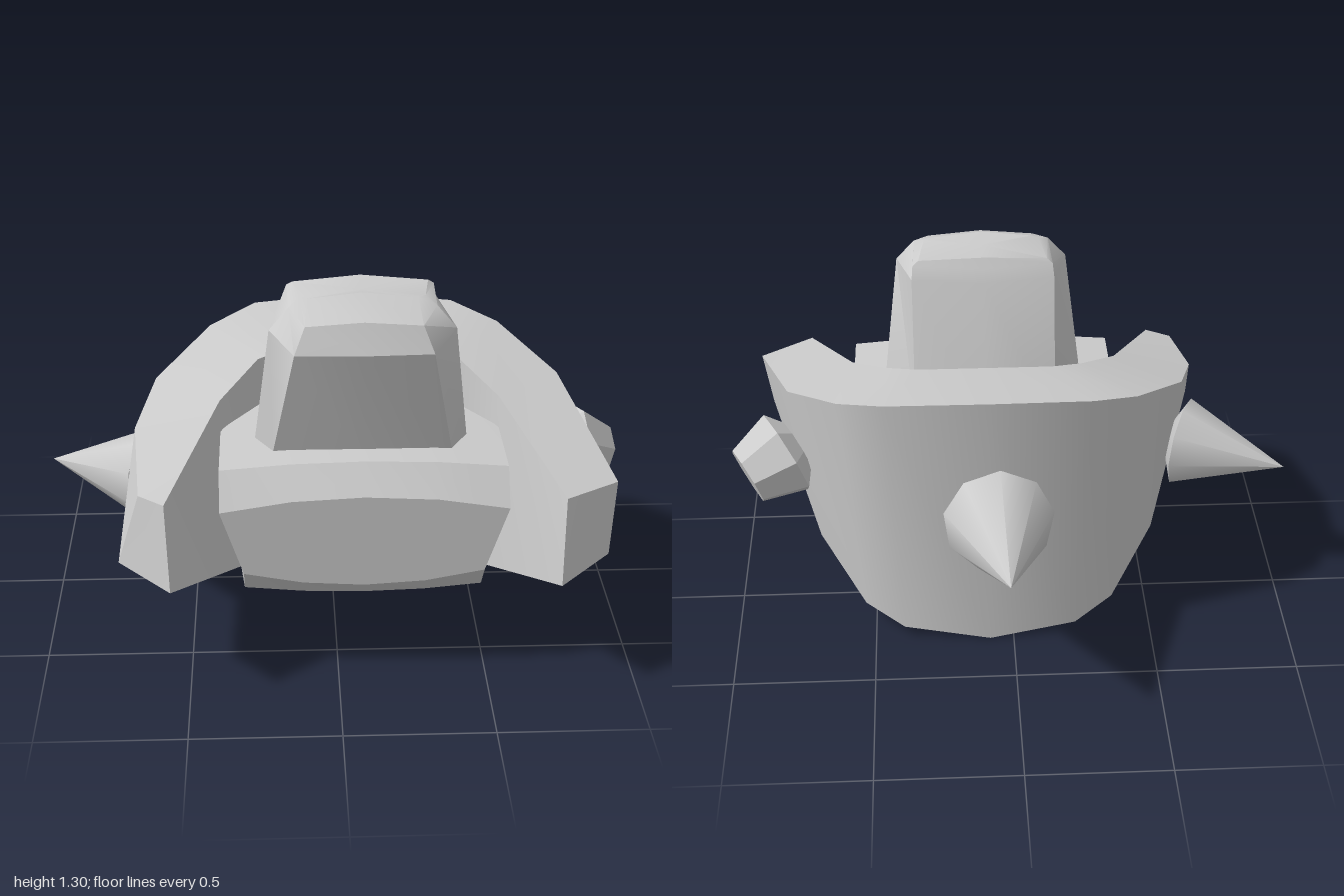
import * as THREE from 'three';
import { toCreasedNormals } from 'three/addons/utils/BufferGeometryUtils.js';

const CX = 0.085; // symmetry plane of the band, wedge and block
const material = new THREE.MeshStandardMaterial({ color: 0xcccccc });

// Closed solid through rings of [x, y, z] points, with fan caps at both ends
function loft(rings, crease = 0.5) {
  const tris = [];
  const n = rings[0].length;
  for (let i = 0; i < rings.length - 1; i++) {
    for (let j = 0; j < n; j++) {
      const k = (j + 1) % n;
      const a = rings[i][j], b = rings[i][k], c = rings[i + 1][k], d = rings[i + 1][j];
      tris.push([a, b, c], [a, c, d]);
    }
  }
  const cap = (ring, flip) => {
    const mid = [0, 1, 2].map((q) => ring.reduce((s, p) => s + p[q], 0) / n);
    ring.forEach((p, j) => {
      const next = ring[(j + 1) % n];
      tris.push(flip ? [mid, next, p] : [mid, p, next]);
    });
  };
  cap(rings[0], true);
  cap(rings[rings.length - 1], false);

  // Turn all faces outward
  const v = (p) => new THREE.Vector3(...p);
  const volume = tris.reduce((s, [a, b, c]) => s + v(a).dot(v(b).cross(v(c))), 0);
  if (volume < 0) tris.forEach((t) => t.reverse());

  const geometry = new THREE.BufferGeometry();
  geometry.setAttribute('position', new THREE.Float32BufferAttribute(tris.flat(2), 3));
  return toCreasedNormals(geometry, crease);
}

const mirror = (ring) => ring.map(([x, y, z]) => [-x, y, z]);

function add(group, name, geometry, x = 0) {
  const mesh = new THREE.Mesh(geometry, material);
  mesh.name = name;
  mesh.position.x = x;
  group.add(mesh);
  return mesh;
}

// Corners of each section: outer top, inner top, inner bottom, outer bottom
function bandGeometry() {
  const half = [
    [[0, 1.02, -0.3], [0, 0.955, 0.04], [0, 0.08, 0.04], [0, 0.005, -0.29]],
    [[0.355, 1.0, -0.265], [0.235, 0.955, 0.04], [0.205, 0.085, 0.04], [0.31, 0.045, -0.26]],
    [[0.515, 0.955, -0.17], [0.345, 0.935, 0.09], [0.29, 0.125, 0.09], [0.45, 0.09, -0.17]],
    [[0.7, 0.86, 0.07], [0.475, 0.86, 0.26], [0.41, 0.215, 0.27], [0.615, 0.235, 0.06]],
    [[0.835, 0.7, 0.59], [0.65, 0.705, 0.71], [0.635, 0.43, 0.795], [0.81, 0.46, 0.645]],
  ];
  const right = half.slice(1).map(mirror);
  // The right arm has its upper outer corner cut off
  const cutStart = right[2].map((p, j) => p.map((c, q) => c + (right[3][j][q] - c) * 0.46));
  right[3][0] = [-0.735, 0.71, 0.65];
  right.splice(3, 0, cutStart);
  return loft([...right.reverse(), ...half], 0.55);
}

// Wedge filling the band: slices across x, narrower at the bottom
function wedgeGeometry() {
  const slice = (x, back, t) => {
    const low = x * 0.84;
    return [
      [x, 0.785 - 0.03 * t, back],
      [x, 0.78 - 0.025 * t, 0.57],
      [x, 0.69 - 0.05 * t, 0.65],
      [low, 0.36 + 0.05 * t, 0.65],
      [low, 0.285 + 0.025 * t, 0.57],
      [low, 0.265 + 0.03 * t, 0.4],
      [low, 0.22 + 0.07 * t, back],
    ];
  };
  const half = [
    slice(0, 0.03, 0), slice(0.24, 0.03, 0.25), slice(0.35, 0.08, 0.6), slice(0.475, 0.26, 1),
  ];
  return loft([...half.slice(1).map(mirror).reverse(), ...half], 0.5);
}

// Bevelled block leaning forward: half rings run from back middle to front middle
function blockGeometry() {
  const halves = [
    [[0, 0.72, 0], [0.25, 0.72, 0.06], [0.36, 0.74, 0.35], [0.3, 0.75, 0.46], [0, 0.75, 0.475]],
    [[0, 1.22, 0.17], [0.25, 1.22, 0.205], [0.305, 1.19, 0.43], [0.225, 1.15, 0.55], [0, 1.155, 0.57]],
    [[0, 1.26, 0.2], [0.245, 1.265, 0.225], [0.24, 1.265, 0.42], [0.19, 1.235, 0.515], [0, 1.25, 0.52]],
    [[0, 1.295, 0.22], [0.225, 1.28, 0.235], [0.205, 1.285, 0.38], [0.18, 1.285, 0.4], [0, 1.305, 0.4]],
  ];
  const rings = halves.map((h) => [...h, ...mirror(h.slice(1, -1)).reverse()]);
  return loft(rings, 0.6);
}

// Round stud turned so that its axis runs from base to tip
function addStud(group, name, base, tip, profile, sides, crease) {
  const from = new THREE.Vector3(...base);
  const axis = new THREE.Vector3(...tip).sub(from);
  const length = axis.length();
  const points = profile.map(([r, h]) => new THREE.Vector2(r, h * length));
  const geometry = toCreasedNormals(new THREE.LatheGeometry(points, sides), crease);
  const mesh = add(group, name, geometry);
  mesh.position.copy(from);
  mesh.quaternion.setFromUnitVectors(new THREE.Vector3(0, 1, 0), axis.normalize());
}

export function createModel() {
  const group = new THREE.Group();
  group.name = 'spikedCollar';

  add(group, 'band', bandGeometry(), CX);
  add(group, 'wedge', wedgeGeometry(), CX);
  add(group, 'uprightBlock', blockGeometry(), CX);

  // Spikes with a short tapered foot, and a blunt stud on the left
  const spike = (r) => [[0, -0.1], [r * 0.5, -0.1], [r, 0], [0, 1]];
  addStud(group, 'backSpike', [0.055, 0.57, -0.345], [0.035, 0.635, -0.797], spike(0.195), 9, 0.85);
  addStud(group, 'rightSpike', [-0.645, 0.54, 0.17], [-1, 0.52, 0.01], spike(0.162), 9, 0.85);
  addStud(group, 'leftStud', [0.81, 0.585, 0.095], [0.947, 0.53, 0.03],
    [[0, -0.3], [0.1, -0.3], [0.165, 0], [0.112, 1], [0, 1]], 8, 0.3);

  return group;
}
